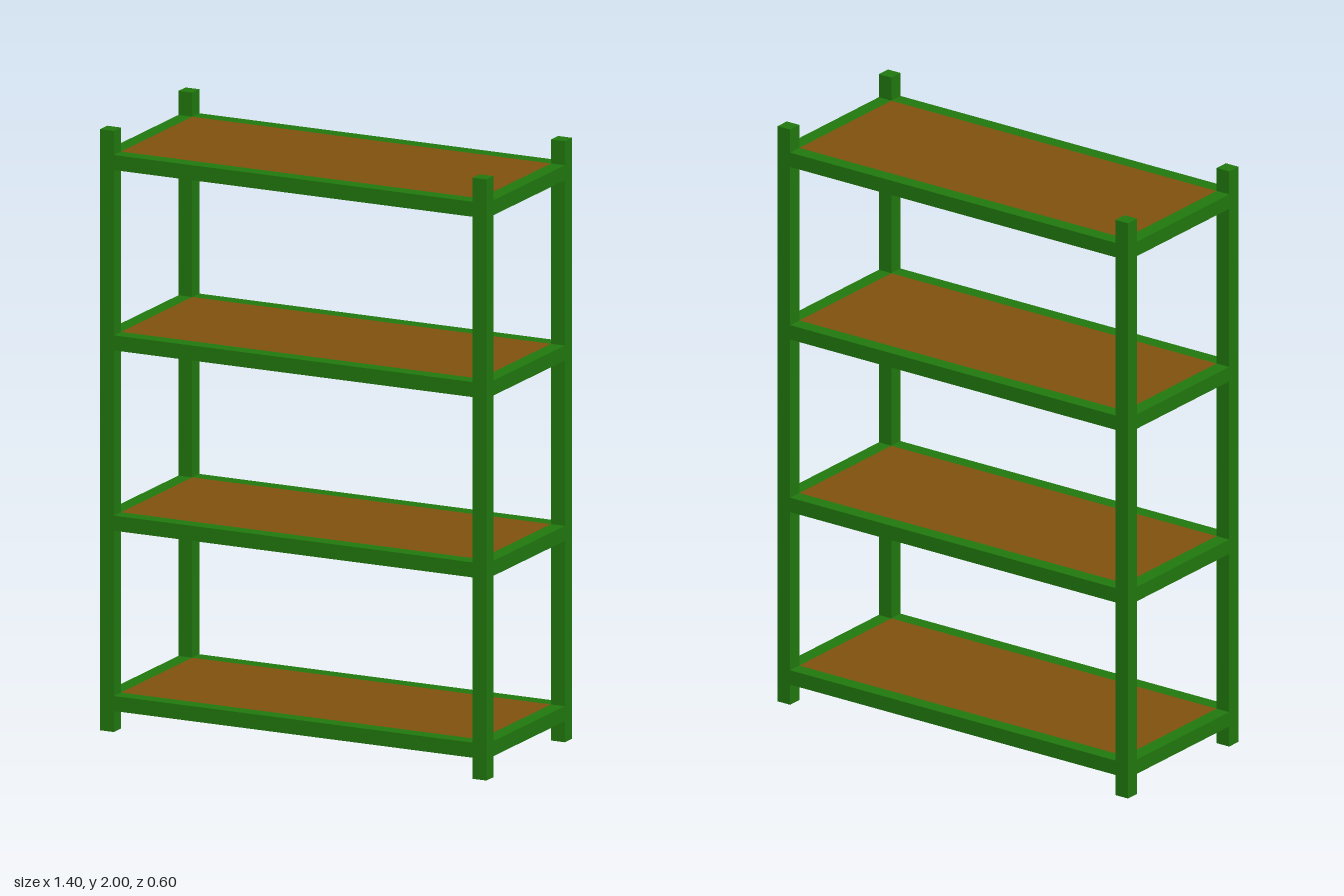
import * as THREE from 'three';

const W = 1.4, D = 0.6, H = 2, T = 0.05; // overall size and bar thickness

export function createModel() {
  const group = new THREE.Group();
  const green = new THREE.MeshStandardMaterial({ color: 0x217a0e });
  const brown = new THREE.MeshStandardMaterial({ color: 0x80520e });

  const box = (parent, name, size, pos, material) => {
    const mesh = new THREE.Mesh(new THREE.BoxGeometry(...size), material);
    mesh.name = name;
    mesh.position.set(...pos);
    parent.add(mesh);
  };

  const px = (W - T) / 2, pz = (D - T) / 2; // bar centre lines
  const innerW = W - 2 * T, innerD = D - 2 * T;

  // Four corner posts
  for (const sx of [-1, 1])
    for (const sz of [-1, 1])
      box(group, `${sz > 0 ? 'front' : 'back'}${sx > 0 ? 'Left' : 'Right'}Post`,
        [T, H, T], [sx * px, H / 2, sz * pz], green);

  // Four shelves, each a rail frame holding a panel and a board
  for (let i = 0; i < 4; i++) {
    const shelf = new THREE.Group();
    shelf.name = `shelf${i + 1}`;
    shelf.position.y = 0.07 + 0.6 * i;
    group.add(shelf);

    for (const s of [-1, 1]) {
      box(shelf, s > 0 ? 'frontRail' : 'backRail', [innerW, T, T], [0, T / 2, s * pz], green);
      box(shelf, s > 0 ? 'leftRail' : 'rightRail', [T, T, innerD], [s * px, T / 2, 0], green);
    }
    // Support panel, slightly recessed below, with the board flush on top
    box(shelf, 'supportPanel', [innerW, 0.025, innerD], [0, 0.0275, 0], green);
    box(shelf, 'board', [innerW, 0.01, innerD], [0, 0.045, 0], brown);
  }

  return group;
}
